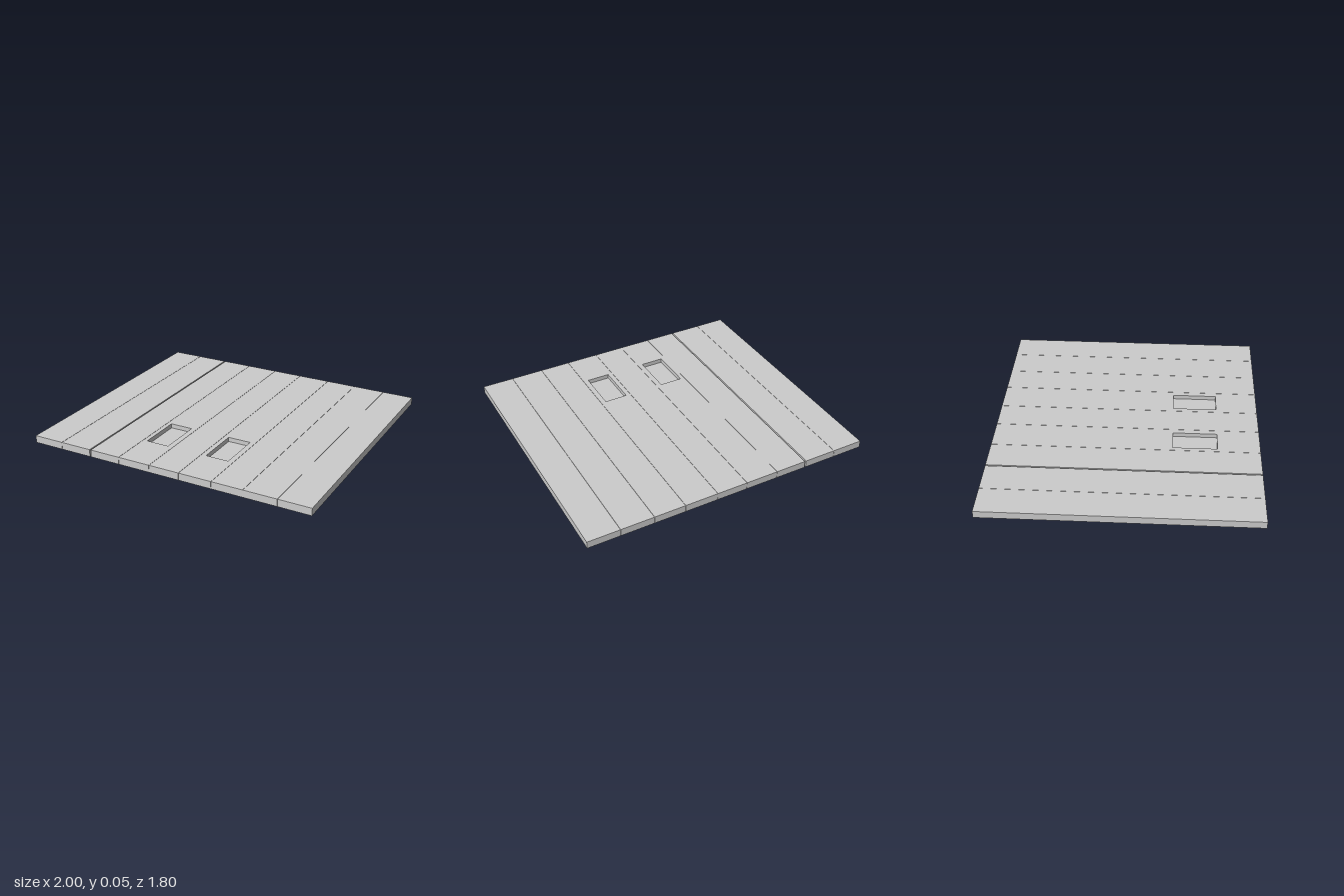
import * as THREE from 'three';

const THICK = 0.05, HALF_DEPTH = 0.9, SEAM = 0.002;
const POCKET = { width: 0.16, z0: 0.315, z1: 0.615, floor: 0.02 };

const material = new THREE.MeshStandardMaterial({ color: 0xcccccc, flatShading: true });

// Box given by its x and z limits, standing on y = 0
function slab(name, x0, x1, z0, z1, height) {
  const mesh = new THREE.Mesh(new THREE.BoxGeometry(x1 - x0, height, z1 - z0), material);
  mesh.position.set((x0 + x1) / 2, height / 2, (z0 + z1) / 2);
  mesh.name = name;
  return mesh;
}

// Corner points of a rectangle; shape y is -z once laid flat
function corners(x0, x1, z0, z1) {
  return [[x0, -z1], [x1, -z1], [x1, -z0], [x0, -z0]].map(([x, y]) => new THREE.Vector2(x, y));
}

// Plank with a shallow rectangular pocket sunk into its top
function pocketPlank(name, x0, x1, pocketX) {
  const p0 = pocketX - POCKET.width / 2, p1 = pocketX + POCKET.width / 2;
  const shape = new THREE.Shape(corners(x0, x1, -HALF_DEPTH, HALF_DEPTH));
  shape.holes.push(new THREE.Path(corners(p0, p1, POCKET.z0, POCKET.z1).reverse()));
  const geometry = new THREE.ExtrudeGeometry(shape, { depth: THICK, bevelEnabled: false });
  geometry.rotateX(-Math.PI / 2);

  const group = new THREE.Group();
  group.name = name;
  const board = new THREE.Mesh(geometry, material);
  board.name = 'pocketBoard';
  group.add(board, slab('pocketFloor', p0, p1, POCKET.z0, POCKET.z1, POCKET.floor));
  return group;
}

export function createModel() {
  const model = new THREE.Group();
  model.name = 'plankPanel';

  // Seam centres between the nine planks; the second seam is wider
  const seams = [-1, -0.784, -0.556, -0.335, -0.107, 0.107, 0.337, 0.552, 0.78, 1];
  const pockets = { 3: -0.225, 5: 0.22 };
  const inset = (i) => (i === 0 || i === 9 ? 0 : i === 2 ? 0.005 : SEAM / 2);

  for (let i = 0; i < 9; i++) {
    const x0 = seams[i] + inset(i), x1 = seams[i + 1] - inset(i + 1);
    const name = `plank${i + 1}`;
    model.add(i in pockets
      ? pocketPlank(name, x0, x1, pockets[i])
      : slab(name, x0, x1, -HALF_DEPTH, HALF_DEPTH, THICK));
  }
  return model;
}
